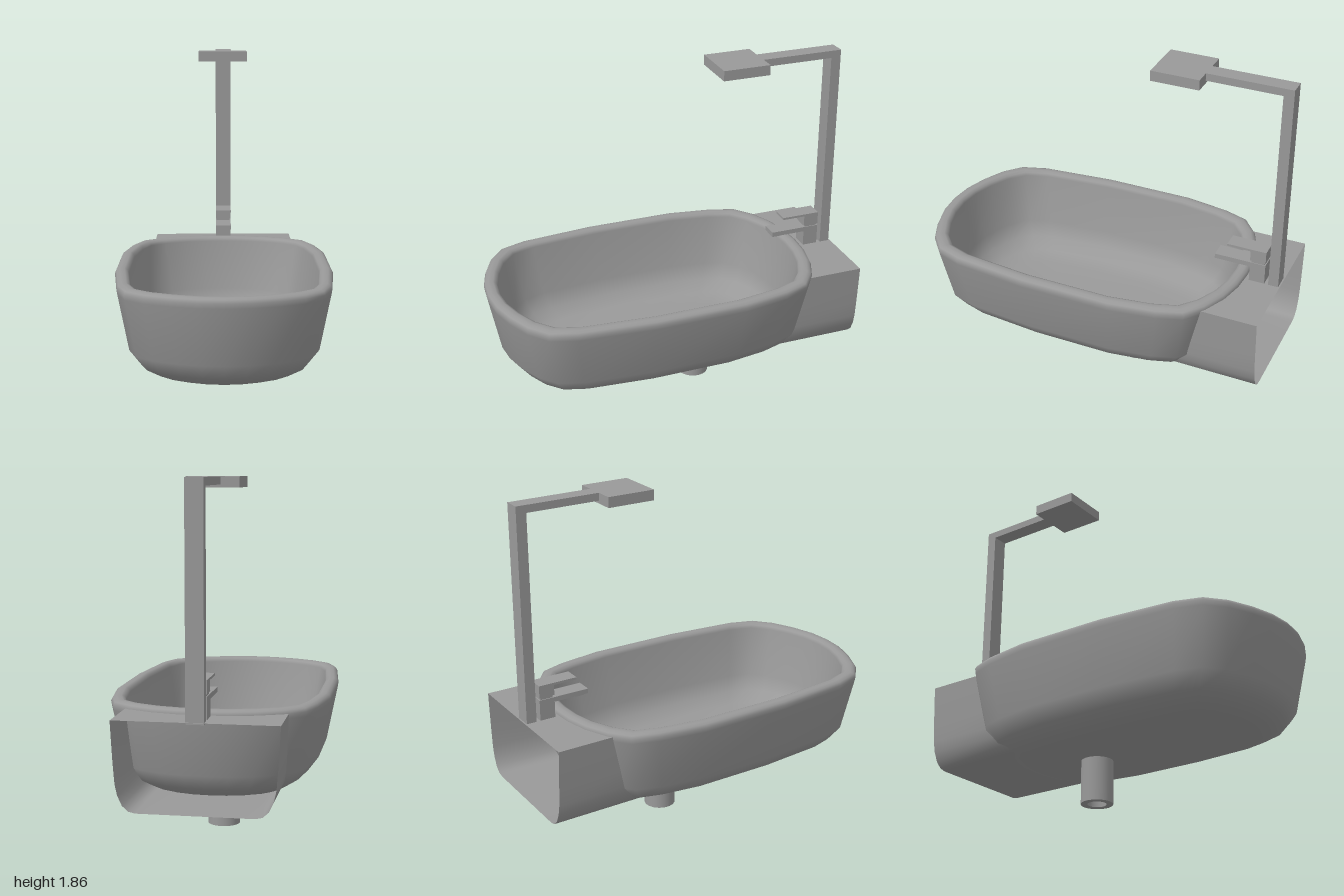
import * as THREE from 'three';

const grey = new THREE.MeshStandardMaterial({ color: 0x999999 });
grey.name = 'grey';
const greyShell = new THREE.MeshStandardMaterial({ color: 0x999999, side: THREE.DoubleSide });
greyShell.name = 'grey shell';

const HX = 0.575, HZ = 0.9025, CZ = 0.0925;

// Right half of the rim outline, front to back, as [x, z]
const half = [
  [0, 0.995], [0.13, 0.983], [0.26, 0.945], [0.39, 0.885], [0.488, 0.8], [0.535, 0.66], [0.575, 0.25],
  [0.575, -0.25], [0.535, -0.5], [0.488, -0.636], [0.39, -0.715], [0.26, -0.773], [0.13, -0.802], [0, -0.81],
];
const outline = [...half, ...half.slice(1, -1).reverse().map(([x, z]) => [-x, z])];

// Wall profile as [inset from rim, y]: outside going up, over the rim, inside going down
const outer = [[HX, 0.235], [0.29, 0.235], [0.2, 0.26], [0.12, 0.31], [0.062, 0.39], [0.004, 0.685], [0, 0.71]];
const inner = [[0.008, 0.727], [0.025, 0.735], [0.05, 0.735], [0.066, 0.727], [0.073, 0.71],
  [0.125, 0.43], [0.17, 0.35], [0.24, 0.3], [0.33, 0.278], [HX, 0.275]];

const inset = ([x, z], d) => [x * (HX - d) / HX, CZ + (z - CZ) * (HZ - d) / HZ];

// Grid of points (rows of equal length) to a smooth surface
function surface(rows, closed) {
  const n = rows[0].length, index = [];
  for (let i = 0; i < rows.length - 1; i++) {
    for (let j = 0; j < (closed ? n : n - 1); j++) {
      const k = (j + 1) % n;
      const a = i * n + j, b = i * n + k, c = a + n, d = b + n;
      index.push(a, b, d, a, d, c);
    }
  }
  const g = new THREE.BufferGeometry();
  g.setAttribute('position', new THREE.Float32BufferAttribute(rows.flat(2), 3));
  g.setIndex(index);
  g.computeVertexNormals();
  return g;
}

// z of the basin's outer back wall at a given x and y
function backZ(x, y) {
  let d = 0;
  for (let i = 1; i < outer.length - 1; i++) {
    const [d0, y0] = outer[i], [d1, y1] = outer[i + 1];
    if (y >= y0 && y <= y1) d = d0 + (d1 - d0) * (y - y0) / (y1 - y0);
  }
  const pts = half.map(p => inset(p, d));
  for (let i = 7; i < pts.length - 1; i++) {
    const [x0, z0] = pts[i], [x1, z1] = pts[i + 1], ax = Math.abs(x);
    if (ax <= x0 && ax >= x1) return z0 + (z1 - z0) * (x0 - ax) / (x0 - x1 || 1);
  }
  return -0.25;
}

export function createModel() {
  const model = new THREE.Group();
  const add = (name, geometry, material = grey) => {
    const mesh = new THREE.Mesh(geometry, material);
    mesh.name = name;
    model.add(mesh);
    return mesh;
  };
  // Box given by its limits on each axis
  const box = (name, x0, x1, y0, y1, z0, z1) =>
    add(name, new THREE.BoxGeometry(x1 - x0, y1 - y0, z1 - z0))
      .position.set((x0 + x1) / 2, (y0 + y1) / 2, (z0 + z1) / 2);

  // Basin
  const rings = [...outer, ...inner].map(([d, y]) =>
    outline.map(p => { const [x, z] = inset(p, d); return [x, y, z]; }));
  add('basin', surface(rings, true));

  // Hollow ledge behind the basin, open at the back
  const strip = pts => surface([
    pts.map(([x, y]) => [x, y, -1]),
    pts.map(([x, y]) => [x, y, backZ(x, y) + 0.015]),
  ], false);
  const side = [[0.41, 0.71], [0.405, 0.62], [0.398, 0.5], [0.39, 0.4], [0.378, 0.345], [0.355, 0.295],
    [0.325, 0.268], [0.29, 0.26], [0.15, 0.26], [0, 0.26]];
  const wall = [...side, ...side.slice(0, -1).reverse().map(([x, y]) => [-x, y])];
  const top = Array.from({ length: 17 }, (_, i) => [-0.41 + 0.82 * i / 16, 0.71]);
  add('ledgeWalls', strip(wall), greyShell);
  add('ledgeTop', strip(top), greyShell);

  // Drain plug and ring on the basin floor
  const plug = add('drainPlug', new THREE.CylinderGeometry(0.052, 0.052, 0.02, 32));
  plug.position.set(0, 0.279, -0.18);
  const ring = add('drainRing', new THREE.TorusGeometry(0.056, 0.006, 8, 32).rotateX(Math.PI / 2));
  ring.position.set(0, 0.284, -0.18);

  // Waste pipe with an open lower end
  const pipe = [[0, 0.08], [0.05, 0.08], [0.05, 0.08], [0.05, 0], [0.05, 0], [0.085, 0], [0.085, 0], [0.085, 0.25]];
  add('wastePipe', new THREE.LatheGeometry(pipe.map(p => new THREE.Vector2(...p)), 32), greyShell)
    .position.z = -0.178;

  // Overhead shower
  box('showerColumn', -0.045, 0.045, 0.7, 1.855, -0.992, -0.937);
  box('showerArm', -0.045, 0.045, 1.815, 1.855, -0.937, -0.54);
  box('showerHead', -0.14, 0.13, 1.8, 1.855, -0.54, -0.28);

  // Mixer tap
  box('tapBody', -0.045, 0.045, 0.7, 0.822, -0.915, -0.83);
  box('tapNeck', -0.04, 0.04, 0.822, 0.834, -0.908, -0.838);
  box('tapCap', -0.045, 0.045, 0.834, 0.89, -0.915, -0.83);
  box('tapLever', -0.045, 0.045, 0.89, 0.902, -0.915, -0.7);
  box('tapSpout', -0.045, 0.045, 0.796, 0.822, -0.83, -0.635);
  box('tapOutlet', -0.025, 0.025, 0.783, 0.796, -0.7, -0.65);

  return model;
}
